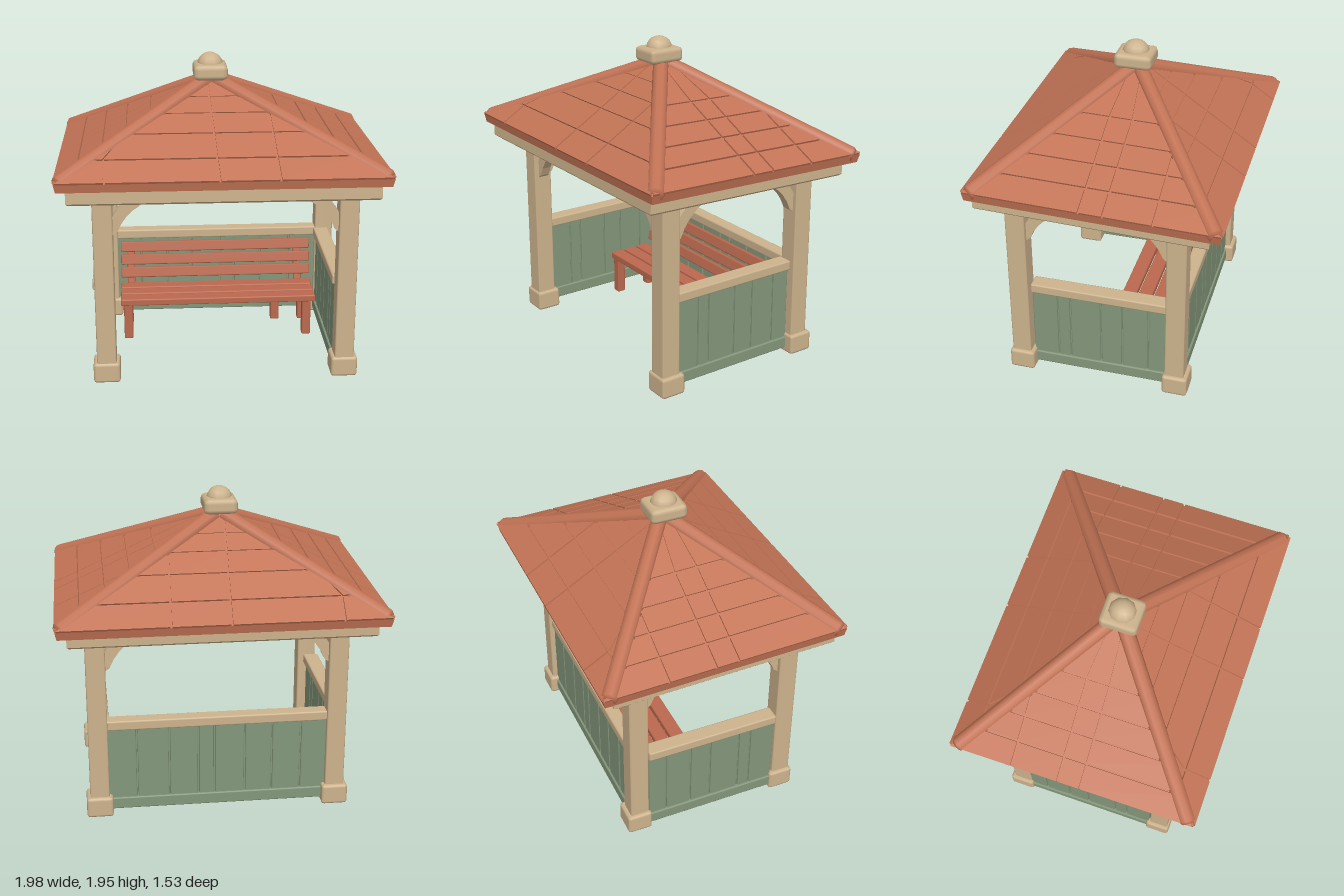
import * as THREE from 'three';
import { mergeGeometries } from 'three/addons/utils/BufferGeometryUtils.js';
import { RoundedBoxGeometry } from 'three/addons/geometries/RoundedBoxGeometry.js';

const material = (name, color) => {
  const m = new THREE.MeshStandardMaterial({ color });
  m.name = name;
  return m;
};

export function createModel() {
  const tan = material('pale timber', 0xcdb38d);
  const red = material('terracotta roof', 0xc27355);
  const bench = material('bench red', 0xbb694e);
  const green = material('sage panels', 0x84977b);
  const model = new THREE.Group();
  model.name = 'gazebo';

  const add = (parent, name, geometry, mat, x = 0, y = 0, z = 0) => {
    const mesh = new THREE.Mesh(geometry, mat);
    mesh.name = name;
    mesh.position.set(x, y, z);
    parent.add(mesh);
    return mesh;
  };
  const box = (parent, name, mat, w, h, d, x, y, z, r = 0.008) =>
    add(parent, name, new RoundedBoxGeometry(w, h, d, 1, r), mat, x, y, z);
  const subgroup = (parent, name, x = 0, y = 0, z = 0) => {
    const g = new THREE.Group();
    g.name = name;
    g.position.set(x, y, z);
    parent.add(g);
    return g;
  };

  // Curved brace, springing from the post at x = 0 towards +x
  const braceShape = new THREE.Shape();
  braceShape.moveTo(-0.01, 0.95);
  braceShape.lineTo(0.025, 0.975);
  braceShape.quadraticCurveTo(0.09, 1.15, 0.3, 1.2);
  braceShape.lineTo(0.3, 1.225);
  braceShape.lineTo(0.17, 1.225);
  braceShape.quadraticCurveTo(0.05, 1.17, -0.01, 1.06);
  const braceGeometry = new THREE.ExtrudeGeometry(braceShape, { depth: 0.06, bevelEnabled: false, curveSegments: 6 });
  braceGeometry.translate(0, 0, -0.03);

  // Corner posts, feet and braces
  for (const x of [-0.718, 0.757]) {
    for (const z of [0.512, -0.473]) {
      const post = subgroup(model, 'cornerPost', x, 0, z);
      box(post, 'postFoot', tan, 0.165, 0.13, 0.16, 0, 0.065, -0.006, 0.018);
      box(post, 'postShaft', tan, 0.12, 1.12, 0.122, 0, 0.66, 0, 0.01);
      const sx = -Math.sign(x), sz = -Math.sign(z);
      const alongX = add(post, 'brace', braceGeometry, tan, sx * 0.06, 0, 0);
      alongX.rotation.y = sx > 0 ? 0 : Math.PI;
      const alongZ = add(post, 'brace', braceGeometry, tan, 0, 0, sz * 0.06);
      alongZ.rotation.y = -sz * Math.PI / 2;
    }
  }

  // Planked half walls with handrails, built along local x
  const wall = (name, half, cuts, railWidth, x, z, turn) => {
    const g = subgroup(model, name, x, 0, z);
    g.rotation.y = turn;
    add(g, 'backing', new THREE.BoxGeometry(half * 2, 0.5, 0.035), green, 0, 0.32, 0);
    const edges = [-half, ...cuts, half];
    for (let i = 0; i + 1 < edges.length; i++) {
      const w = edges[i + 1] - edges[i] - 0.009;
      box(g, 'plank', green, w, 0.48, 0.06, (edges[i] + edges[i + 1]) / 2, 0.335, 0, 0.006);
    }
    box(g, 'skirting', green, half * 2, 0.075, 0.085, 0, 0.068, 0);
    box(g, 'handrail', tan, half * 2, 0.062, railWidth, 0, 0.597, 0, 0.01);
  };
  const sideCuts = [-0.265, -0.185, 0.01, 0.145, 0.31];
  wall('rightWall', 0.43, sideCuts, 0.1, -0.745, 0.015, Math.PI / 2);
  wall('leftWall', 0.43, sideCuts, 0.1, 0.735, 0.015, Math.PI / 2);
  wall('backWall', 0.69, [-0.52, -0.34, -0.17, 0.02, 0.12, 0.3, 0.5], 0.09, 0.02, -0.47, 0);

  // Slatted bench
  const seat = subgroup(model, 'bench');
  for (let i = 0; i < 3; i++) {
    box(seat, 'seatSlat', bench, 1.29, 0.045, 0.092, 0.007, 0.276, -0.045 - i * 0.105);
    const slat = box(seat, 'backSlat', bench, 1.29, 0.07, 0.035, 0.007, 0.357 + i * 0.085, -0.335 - i * 0.022);
    slat.rotation.x = -0.25;
  }
  for (const [x, z] of [[-0.59, -0.035], [0.595, -0.035], [-0.59, -0.28], [0.41, -0.28], [0.595, -0.28]])
    box(seat, 'benchLeg', bench, 0.058, 0.245, 0.058, x, 0.137, z);
  for (const x of [-0.57, 0.57]) {
    const upright = box(seat, 'backUpright', bench, 0.05, 0.28, 0.03, x, 0.41, -0.376);
    upright.rotation.x = -0.25;
  }

  // Roof assembly, leaning slightly backwards
  const roof = subgroup(model, 'roof', 0, 1.3, 0);
  roof.rotation.x = -0.028;

  // Eaves frame with a central opening
  const rectangle = (Type, w, d) => {
    const s = new Type();
    s.moveTo(-w, -d);
    s.lineTo(w, -d);
    s.lineTo(w, d);
    s.lineTo(-w, d);
    s.closePath();
    return s;
  };
  const frameShape = rectangle(THREE.Shape, 0.905, 0.69);
  frameShape.holes.push(rectangle(THREE.Path, 0.64, 0.4));
  const frame = new THREE.ExtrudeGeometry(frameShape, {
    depth: 0.07, bevelSize: 0.012, bevelThickness: 0.012, bevelSegments: 1,
  });
  frame.rotateX(Math.PI / 2);
  add(roof, 'eavesFrame', frame, tan, 0, -0.027, 0.02);

  // Hollow roof shell: rings of [half width, half depth, height, centre x]
  const rings = [
    [0.02, 0.02, 0.42, -0.04], [0.89, 0.67, -0.02, 0], [0.97, 0.75, -0.02, 0],
    [0.98, 0.76, 0.03, 0], [0.03, 0.03, 0.485, -0.04],
  ].map(([w, d, y, cx]) => [[-1, 1], [1, 1], [1, -1], [-1, -1]].map(([sx, sz]) => [cx + sx * w, y, sz * d]));
  const shellPoints = [];
  for (let i = 0; i + 1 < rings.length; i++) {
    for (let j = 0; j < 4; j++) {
      const k = (j + 1) % 4;
      const [a, b, c, d] = [rings[i][j], rings[i][k], rings[i + 1][k], rings[i + 1][j]];
      shellPoints.push(...a, ...b, ...c, ...a, ...c, ...d);
    }
  }
  const flatGeometry = (points) => {
    const g = new THREE.BufferGeometry();
    g.setAttribute('position', new THREE.Float32BufferAttribute(points, 3));
    g.computeVertexNormals();
    return g;
  };
  add(roof, 'roofShell', flatGeometry(shellPoints), red);

  // Raised roof tiles with narrow gaps, clipped to each sloping triangle
  const apex = new THREE.Vector3(-0.04, 0.49, 0);
  const tiledSlope = (name, mid, dir, half, rows, cuts) => {
    const rise = apex.clone().sub(mid);
    const normal = dir.clone().cross(rise).normalize();
    const at = (u, t, h) => mid.clone().addScaledVector(dir, u).addScaledVector(rise, t).addScaledVector(normal, h);
    const tiles = [];
    const levels = [0, ...rows, 0.96], edges = [-half, ...cuts, half];
    for (let i = 0; i + 1 < levels.length; i++) {
      for (let j = 0; j + 1 < edges.length; j++) {
        const t0 = levels[i] + (i ? 0.007 : 0), t1 = levels[i + 1] - 0.007;
        const clip = (u, t) => THREE.MathUtils.clamp(u, -half * (1 - t), half * (1 - t));
        const u0 = edges[j] + 0.006, u1 = edges[j + 1] - 0.006;
        if (clip(u1, t0) - clip(u0, t0) < 0.02) continue;
        const plan = [[clip(u0, t0), t0], [clip(u1, t0), t0], [clip(u1, t1), t1], [clip(u0, t1), t1]];
        const low = plan.map(([u, t]) => at(u, t, -0.004).toArray());
        const top = plan.map(([u, t]) => at(u, t, 0.014).toArray());
        const points = [...top[0], ...top[1], ...top[2], ...top[0], ...top[2], ...top[3]];
        for (let a = 0; a < 4; a++) {
          const b = (a + 1) % 4;
          points.push(...low[a], ...low[b], ...top[b], ...low[a], ...top[b], ...top[a]);
        }
        tiles.push(flatGeometry(points));
      }
    }
    add(roof, name, mergeGeometries(tiles), red);
  };
  const V = (x, y, z) => new THREE.Vector3(x, y, z);
  const longRows = [0.2, 0.43, 0.62, 0.78], shortRows = [0.15, 0.3, 0.45, 0.61];
  tiledSlope('frontTiles', V(0, 0.03, 0.76), V(1, 0, 0), 0.98, longRows, [-0.69, -0.03, 0.32]);
  tiledSlope('backTiles', V(0, 0.03, -0.76), V(-1, 0, 0), 0.98, longRows, [-0.32, 0.03, 0.69]);
  tiledSlope('leftTiles', V(0.98, 0.03, 0), V(0, 0, -1), 0.76, shortRows, [-0.06, 0.08, 0.37]);
  tiledSlope('rightTiles', V(-0.98, 0.03, 0), V(0, 0, 1), 0.76, shortRows, [-0.37, -0.08, 0.06]);

  // Rounded hip ridges from the corners to the apex
  for (const sx of [-1, 1]) {
    for (const sz of [-1, 1]) {
      const foot = V(sx * 0.965, 0.02, sz * 0.725), head = V(-0.04 + sx * 0.03, 0.475, sz * 0.025);
      const span = head.clone().sub(foot), length = span.length();
      const profile = [[0, 0], [0.038, 0], [0.05, 0.018], [0.048, length], [0, length]];
      const hip = add(roof, 'hipRidge', new THREE.LatheGeometry(profile.map(([r, y]) => new THREE.Vector2(r, y)), 10),
        red, foot.x, foot.y, foot.z);
      hip.quaternion.setFromUnitVectors(V(0, 1, 0), span.normalize());
    }
  }

  // Finial block and domed cap
  const finial = subgroup(model, 'finial', -0.047, 0, 0);
  box(finial, 'finialBlock', tan, 0.21, 0.095, 0.235, 0, 1.836, 0, 0.03);
  const dome = add(finial, 'finialCap', new THREE.SphereGeometry(0.08, 10, 5, 0, Math.PI * 2, 0, Math.PI / 2), tan, 0, 1.872, 0);
  dome.scale.set(1, 0.95, 1.05);

  return model;
}
